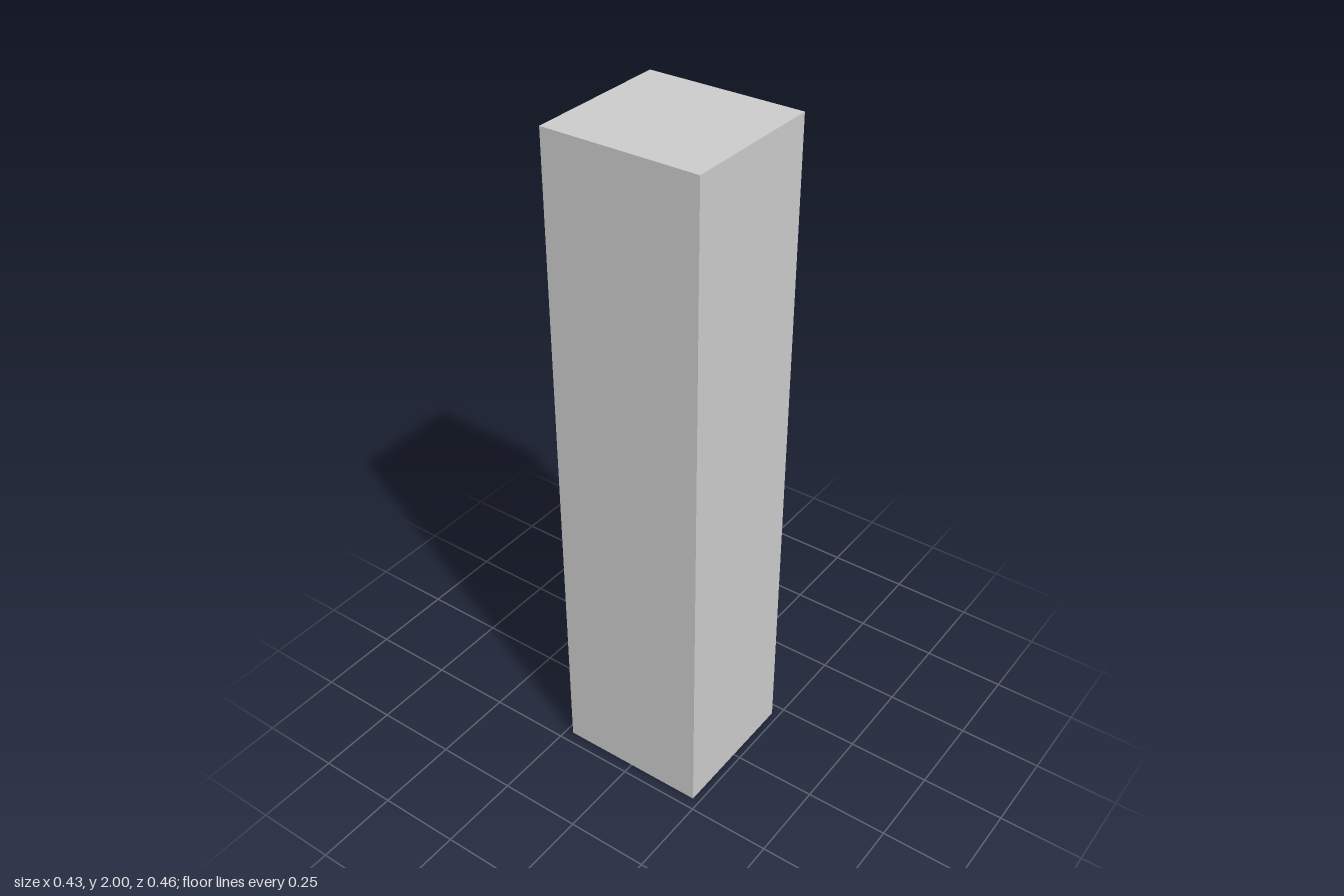
import * as THREE from 'three';

const W = 0.432, H = 2, D = 0.456; // overall x, y, z
const T = 0.034;                   // board thickness
const BACK = 0.014;                // thin rear panel

export function createModel() {
  const group = new THREE.Group();
  const material = new THREE.MeshStandardMaterial({ color: 0xcccccc });

  // Adds a board spanning the two given corners
  const board = (name, min, max) => {
    const size = max.map((v, i) => v - min[i]);
    const mesh = new THREE.Mesh(new THREE.BoxGeometry(...size), material);
    mesh.position.set(...max.map((v, i) => (v + min[i]) / 2));
    mesh.name = name;
    group.add(mesh);
  };

  const x = W / 2, z = D / 2;

  // Carcass, open towards +x
  board('bottomPanel', [-x, 0, -z + T], [x, T, z - T]);
  board('topPanel', [-x, H - T, -z + T], [x, H, z - T]);
  board('frontSidePanel', [-x, 0, z - T], [x, H, z]);
  board('rearSidePanel', [-x, 0, -z], [x, H, -z + T]);
  board('closedPanel', [-x, T, -z + T], [-x + BACK, H - T, z - T]);

  // Shelves, set back from the opening with a slight gap at the sides
  const gap = 0.003;
  for (const y of [0.5, 0.991, 1.482]) {
    board('shelf', [-x + BACK, y, -z + T + gap], [0.15, y + 0.025, z - T - gap]);
  }

  return group;
}
